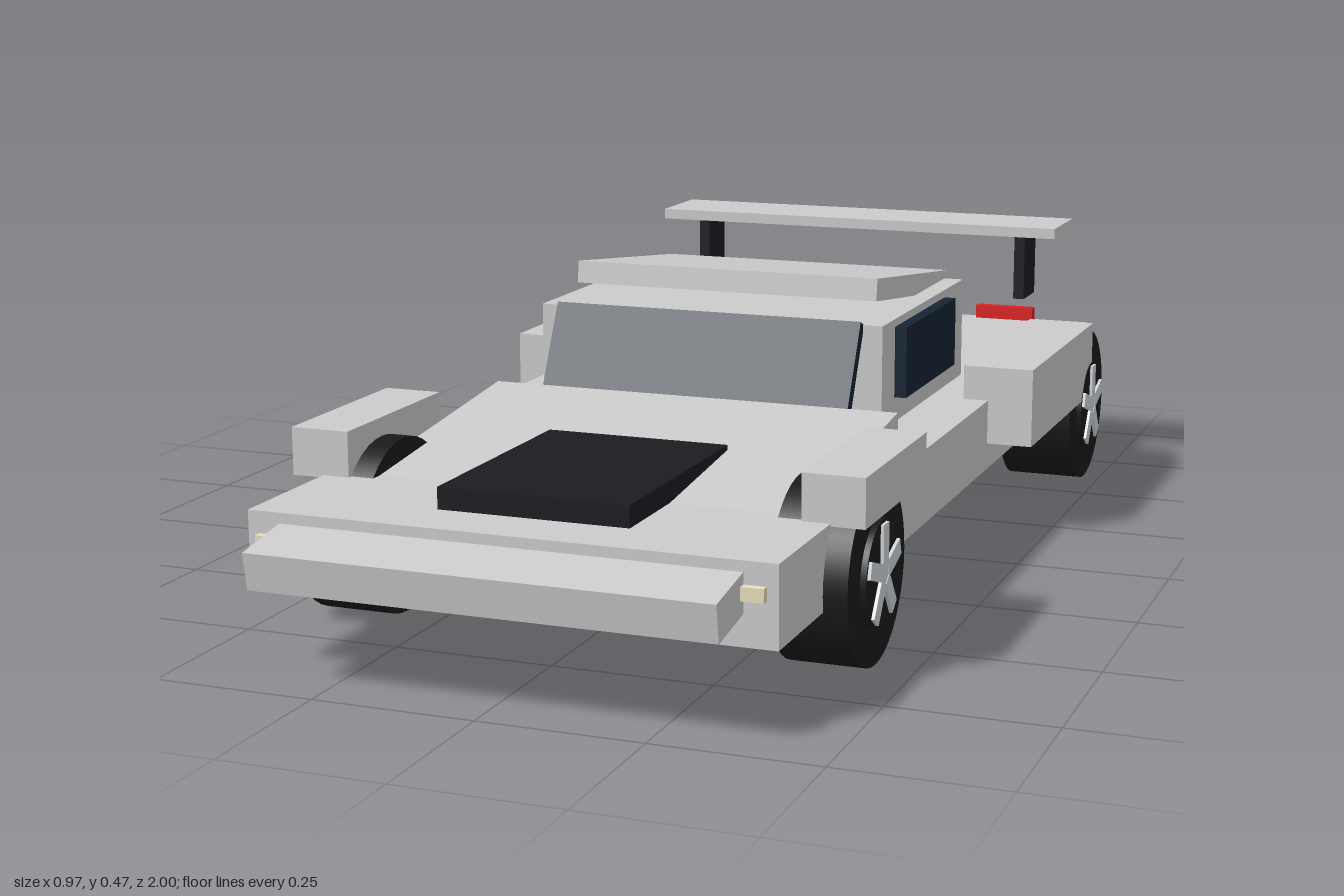
import * as THREE from 'three';

const mat = (color) => new THREE.MeshStandardMaterial({ color });
const GREY = mat(0xcccccc), BLACK = mat(0x1b1c20), GLASS = mat(0x152434),
  RUBBER = mat(0x1a1a1a), SILVER = mat(0xd0d4d8), RED = mat(0xdd2222), CREAM = mat(0xe8dfbb);

export function createModel() {
  const car = new THREE.Group();
  car.name = 'sportsCar';

  // Box given by its ranges on each axis
  function block(name, material, [x0, x1], [y0, y1], [z0, z1]) {
    const mesh = new THREE.Mesh(new THREE.BoxGeometry(x1 - x0, y1 - y0, z1 - z0), material);
    mesh.position.set((x0 + x1) / 2, (y0 + y1) / 2, (z0 + z1) / 2);
    mesh.name = name;
    car.add(mesh);
    return mesh;
  }

  // The same box on both sides of the car
  function pair(name, material, [x0, x1], y, z) {
    block(name + 'Left', material, [x0, x1], y, z);
    block(name + 'Right', material, [-x1, -x0], y, z);
  }

  // Centred box pitched about the x axis
  function slab(name, material, size, y, z, pitch) {
    const mesh = new THREE.Mesh(new THREE.BoxGeometry(...size), material);
    mesh.position.set(0, y, z);
    mesh.rotation.x = pitch;
    mesh.name = name;
    car.add(mesh);
  }

  // Lower body, nose and hood
  block('body', GREY, [-0.4, 0.4], [0.113, 0.233], [-0.946, 0.9]);
  slab('nose', GREY, [0.7, 0.057, 0.13], 0.183, 0.932, 0.16);
  slab('hood', GREY, [0.695, 0.06, 0.56], 0.2235, 0.465, 0.107);
  block('hoodVent', BLACK, [-0.148, 0.148], [0.225, 0.266], [0.42, 0.805]);

  // Cabin, glass and roof
  block('cabin', GREY, [-0.298, 0.298], [0.225, 0.405], [-0.367, 0.115]);
  pair('sideWindow', GLASS, [0.29, 0.318], [0.275, 0.392], [-0.25, 0.045]);
  slab('windshield', GLASS, [0.53, 0.165, 0.02], 0.334, 0.154, -0.46);
  slab('roof', GREY, [0.53, 0.037, 0.425], 0.4245, -0.17, -0.12);

  // Fenders
  pair('frontFender', GREY, [0.357, 0.451], [0.229, 0.303], [0.385, 0.685]);
  pair('rearFender', GREY, [0.357, 0.477], [0.158, 0.291], [-0.635, -0.17]);

  // Rear wing on two struts
  block('wing', GREY, [-0.392, 0.392], [0.439, 0.458], [-0.815, -0.668]);
  pair('wingStrut', BLACK, [0.309, 0.329], [0.317, 0.441], [-0.78, -0.695]);

  // Lights
  pair('headlight', CREAM, [0.345, 0.383], [0.18, 0.2], [0.88, 0.912]);
  pair('taillight', RED, [0.177, 0.292], [0.227, 0.258], [-0.943, -0.922]);

  // Four exhaust pipes
  for (const x of [-0.148, -0.077, 0.077, 0.148]) {
    const pipe = new THREE.Mesh(new THREE.CylinderGeometry(0.017, 0.017, 0.07, 20), SILVER);
    pipe.rotation.x = Math.PI / 2;
    pipe.position.set(x, 0.122, -0.965);
    pipe.name = 'exhaustPipe';
    car.add(pipe);
  }

  // Wheel with its axle along x and its outer face towards +x
  function wheel(name, side, inner, outer, z) {
    const group = new THREE.Group();
    group.name = name;
    const disc = (part, radius, x0, x1, material) => {
      const geometry = new THREE.CylinderGeometry(radius, radius, x1 - x0, 40).rotateZ(-Math.PI / 2);
      const mesh = new THREE.Mesh(geometry, material);
      mesh.position.x = (x0 + x1) / 2;
      mesh.name = part;
      group.add(mesh);
    };
    disc('tire', 0.137, inner, outer, RUBBER);
    disc('rim', 0.08, outer - 0.01, outer + 0.009, RUBBER);
    disc('hub', 0.02, outer, outer + 0.013, SILVER);
    for (let i = 0; i < 5; i++) {
      const spoke = new THREE.Mesh(new THREE.BoxGeometry(0.012, 0.062, 0.026).translate(0, 0.044, 0), SILVER);
      spoke.position.x = outer + 0.008;
      spoke.rotation.x = (i * Math.PI * 2) / 5;
      spoke.name = 'spoke';
      group.add(spoke);
    }
    group.position.set(0, 0.137, z);
    if (side < 0) group.rotation.y = Math.PI;
    car.add(group);
  }
  for (const side of [1, -1]) {
    const suffix = side > 0 ? 'Left' : 'Right';
    wheel('frontWheel' + suffix, side, 0.32, 0.436, 0.58);
    wheel('rearWheel' + suffix, side, 0.338, 0.469, -0.632);
  }
  return car;
}
